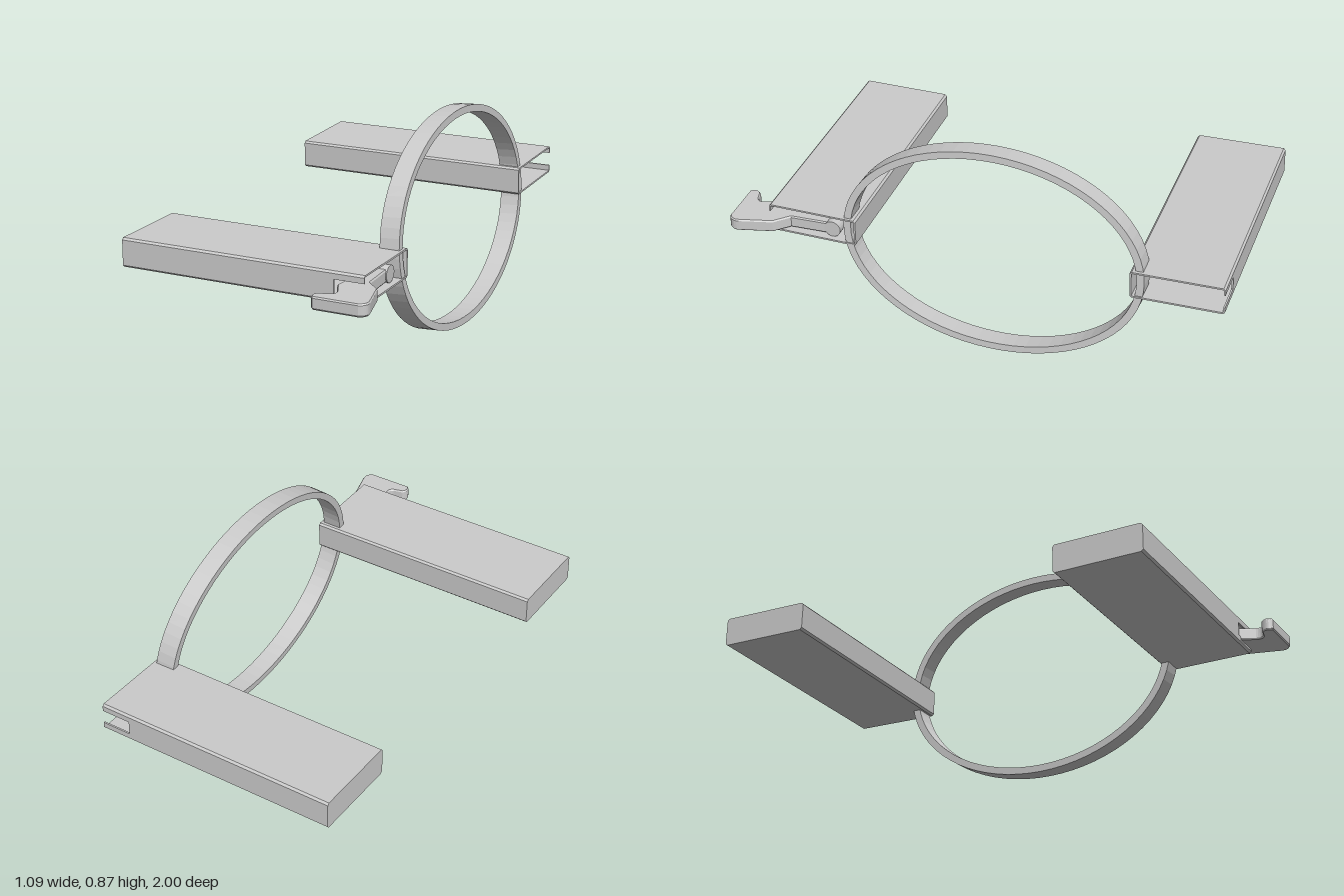
import * as THREE from 'three';

const material = new THREE.MeshStandardMaterial({ color: 0xcccccc, flatShading: true, side: THREE.DoubleSide });

function addMesh(parent, geometry, name) {
  const mesh = new THREE.Mesh(geometry, material);
  mesh.name = name;
  parent.add(mesh);
  return mesh;
}

// Closed outline through [u, v] points
const outline = (points) => new THREE.Shape(points.map(([u, v]) => new THREE.Vector2(u, v)));

// Rectangle with small chamfered corners, half sizes w and h
const chamfered = (w, h, c) => [
  [-w, -h + c], [-w + c, -h], [w - c, -h], [w, -h + c],
  [w, h - c], [w - c, h], [-w + c, h], [-w, h - c],
];

// Extrude a (z, y) section along x, starting at x0
function extrudeX(shape, x0, depth, curveSegments = 12) {
  const geometry = new THREE.ExtrudeGeometry(shape, { depth, bevelEnabled: false, curveSegments });
  return geometry.rotateY(Math.PI / 2).translate(x0, 0, 0);
}

// Hollow housing open at +x, with a slot at the open end of its outer wall
function createHousing(name, outward) {
  const group = new THREE.Group();
  group.name = name;
  const w = 0.184, h = 0.058, t = 0.007, c = 0.008, slot = 0.028;
  const x0 = -0.545, xSlot = 0.345, x1 = 0.467;

  const tube = outline(chamfered(w, h, c));
  tube.holes.push(new THREE.Path(chamfered(w - t, h - t, 0.004).map(([u, v]) => new THREE.Vector2(u, v))));
  addMesh(group, extrudeX(tube, x0 + t, xSlot - x0 - t), 'housingSleeve');
  addMesh(group, extrudeX(outline(chamfered(w, h, c)), x0, t), 'housingEndWall');

  // C-shaped section around the slot; u runs against z
  const mouth = outline([
    [w, slot], [w, h - c], [w - c, h], [-w + c, h], [-w, h - c],
    [-w, -h + c], [-w + c, -h], [w - c, -h], [w, -h + c], [w, -slot],
    [w - t, -slot], [w - t, -h + t], [-w + t, -h + t],
    [-w + t, h - t], [w - t, h - t], [w - t, slot],
  ].map(([u, v]) => [-outward * u, v]));
  addMesh(group, extrudeX(mouth, xSlot, x1 - xSlot), 'housingMouth');
  return group;
}

export function createModel() {
  const model = new THREE.Group();
  model.name = 'ringWithHousings';

  // Front and back housings
  const front = createHousing('frontHousing', 1);
  front.position.set(0, 0.417, 0.666);
  const back = createHousing('backHousing', -1);
  back.position.set(0, 0.448, -0.814);
  back.rotation.x = 0.028;
  model.add(front, back);

  // Tilted oval ring
  const oval = new THREE.Shape();
  oval.absellipse(0, 0, 0.61, 0.434, 0, Math.PI * 2, false);
  const hole = new THREE.Path();
  hole.absellipse(0, 0, 0.58, 0.405, 0, Math.PI * 2, true);
  oval.holes.push(hole);
  const ring = addMesh(model, extrudeX(oval, -0.04, 0.08, 36), 'ovalRing');
  ring.position.set(0.418, 0.44, -0.075);
  ring.rotation.z = 0.065;

  // Hooked lever: flat plan in (x, z), thickness along y
  const plan = new THREE.Shape();
  plan.moveTo(0.385, 0.57);
  plan.lineTo(0.44, 0.57);
  plan.lineTo(0.45, 0.765);
  plan.lineTo(0.505, 0.82);
  plan.lineTo(0.54, 0.95);
  plan.quadraticCurveTo(0.548, 0.985, 0.515, 0.998);
  plan.lineTo(0.335, 0.998);
  plan.quadraticCurveTo(0.31, 0.975, 0.335, 0.95);
  plan.lineTo(0.375, 0.94);
  plan.quadraticCurveTo(0.395, 0.93, 0.386, 0.905);
  plan.lineTo(0.355, 0.84);
  plan.lineTo(0.37, 0.7);
  plan.closePath();
  const leverGeometry = new THREE.ExtrudeGeometry(plan, {
    depth: 0.038, bevelEnabled: true, bevelThickness: 0.006, bevelSize: 0.004,
    bevelOffset: -0.004, bevelSegments: 1, curveSegments: 6,
  });
  // Plan y becomes z, thickness becomes -y
  leverGeometry.rotateX(Math.PI / 2).translate(0, 0.419, 0);
  addMesh(model, leverGeometry, 'hookLever');

  // Pivot pin at the inner end of the lever
  const pin = addMesh(model, new THREE.CylinderGeometry(0.034, 0.034, 0.07, 20), 'pivotPin');
  pin.rotation.z = Math.PI / 2;
  pin.position.set(0.412, 0.402, 0.59);

  return model;
}
